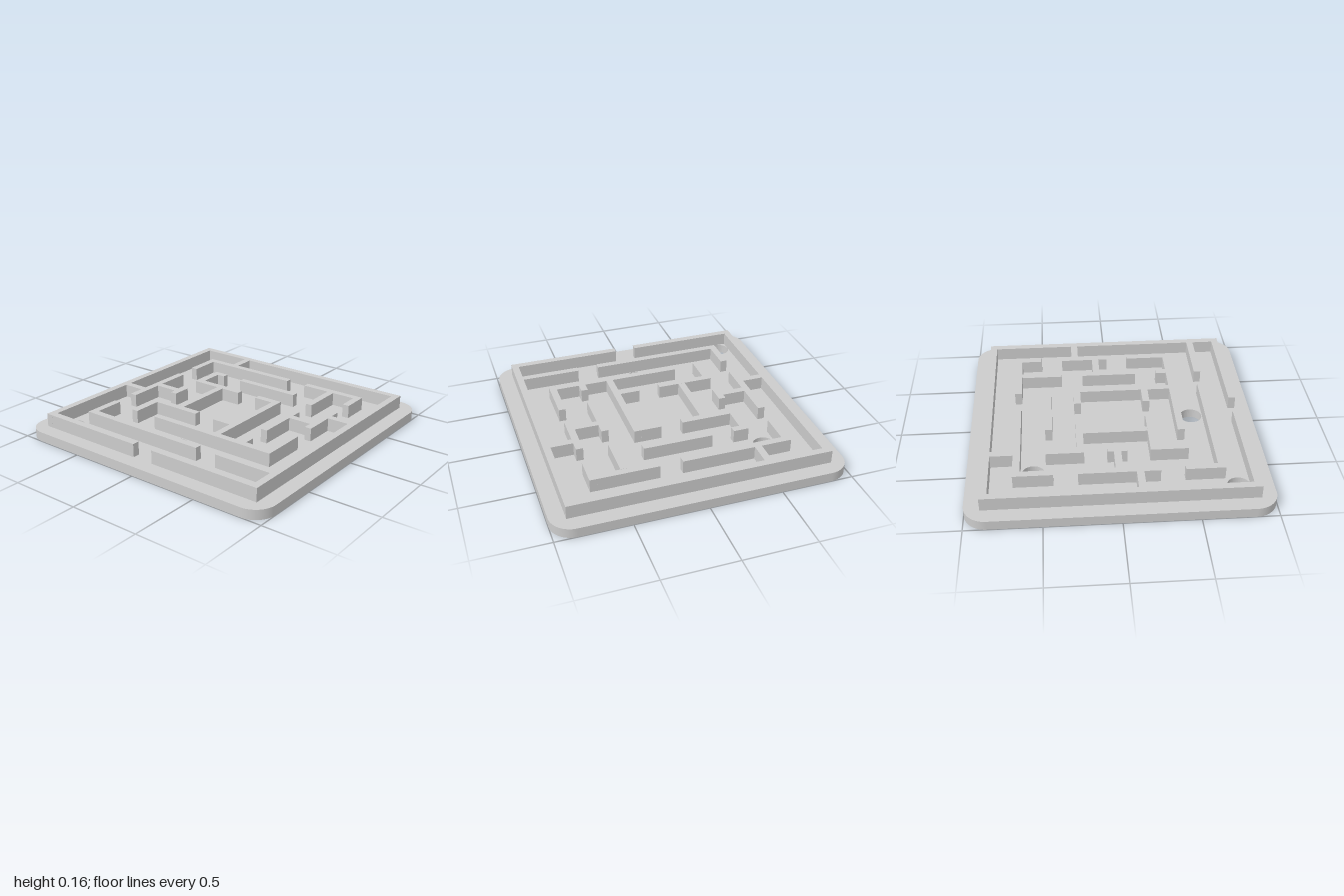
import * as THREE from 'three';

const BASE = 0.067, TOP = 0.16, T = 0.049;

// Walls along x: [z centre, x start, x end]
const ACROSS = [
  [-0.871, -0.896, 0.894], [0.869, -0.896, 0.894],
  [-0.671, -0.695, -0.433], [-0.671, -0.27, 0.267], [-0.671, 0.428, 0.691],
  [-0.457, -0.481, -0.224], [-0.457, -0.07, 0.064], [-0.457, 0.219, 0.476], [-0.457, 0.691, 0.845],
  [-0.249, -0.224, 0.219],
  [0.243, -0.433, 0.267],
  [0.452, -0.433, -0.358], [0.452, -0.203, 0.193], [0.452, 0.348, 0.642],
  [0.667, -0.481, -0.155], [0.667, 0, 0.342], [0.667, 0.497, 0.691],
];

// Walls along z: [x centre, z start, z end]
const ALONG = [
  [-0.871, -0.847, -0.08], [-0.871, 0.075, 0.845], [0.869, -0.847, 0.845],
  [-0.671, -0.647, 0.273], [-0.671, 0.428, 0.845],
  [-0.457, -0.273, 0.643],
  [-0.249, -0.433, -0.08], [-0.249, 0.075, 0.219],
  [-0.136, -0.847, -0.695], [-0.003, -0.647, -0.481],
  [0.088, 0.476, 0.643],
  [0.243, -0.433, -0.08], [0.243, 0.075, 0.219], [0.243, 0.691, 0.845],
  [0.452, -0.433, -0.374], [0.452, -0.219, 0.267],
  [0.667, -0.647, 0.07], [0.667, 0.225, 0.643],
];

// Through holes: [x, z]
const HOLES = [[-0.77, -0.77], [0.56, -0.565], [-0.565, 0]];

function roundedSquare(h, r) {
  const s = new THREE.Shape();
  s.absarc(h - r, h - r, r, 0, Math.PI / 2);
  s.absarc(r - h, h - r, r, Math.PI / 2, Math.PI);
  s.absarc(r - h, r - h, r, Math.PI, Math.PI * 1.5);
  s.absarc(h - r, r - h, r, Math.PI * 1.5, Math.PI * 2);
  s.closePath();
  return s;
}

export function createModel() {
  const model = new THREE.Group();
  model.name = 'mazeBoard';
  const material = new THREE.MeshStandardMaterial({ color: 0xcccccc });

  // Base plate with rounded corners and round holes
  const outline = roundedSquare(1, 0.15);
  for (const [x, z] of HOLES) {
    outline.holes.push(new THREE.Path().absarc(x, -z, 0.077, 0, Math.PI * 2, true));
  }
  const plate = new THREE.ExtrudeGeometry(outline, { depth: BASE, bevelEnabled: false, curveSegments: 20 });
  plate.rotateX(-Math.PI / 2);
  const base = new THREE.Mesh(plate, material);
  base.name = 'basePlate';
  model.add(base);

  // Maze walls
  const walls = new THREE.Group();
  walls.name = 'mazeWalls';
  const addWall = (name, x, z, w, d) => {
    const wall = new THREE.Mesh(new THREE.BoxGeometry(w, TOP - BASE, d), material);
    wall.position.set(x, (TOP + BASE) / 2, z);
    wall.name = name;
    walls.add(wall);
  };
  for (const [z, a, b] of ACROSS) addWall('wallAcross', (a + b) / 2, z, b - a, T);
  for (const [x, a, b] of ALONG) addWall('wallAlong', x, (a + b) / 2, T, b - a);
  model.add(walls);

  return model;
}
